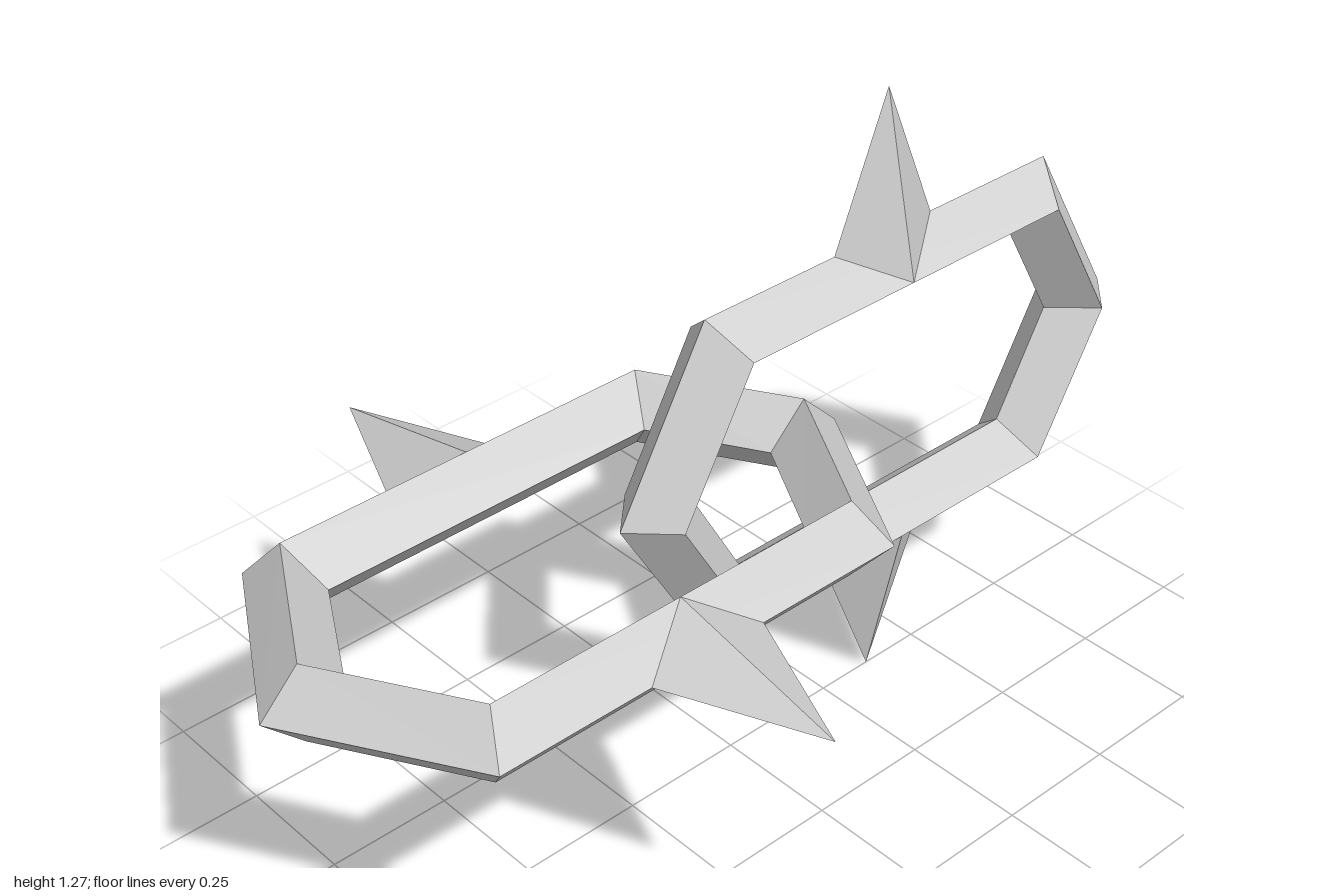
import * as THREE from 'three';

const material = new THREE.MeshStandardMaterial({ color: 0xcccccc, flatShading: true });

function makeGeometry(positions) {
  const g = new THREE.BufferGeometry();
  g.setAttribute('position', new THREE.Float32BufferAttribute(positions, 3));
  g.computeVertexNormals();
  return g;
}

// Long hexagonal ring with a diamond cross-section, lying in the xz plane.
function linkGeometry() {
  // Each level: half width, half straight length, half total length, height
  const levels = [
    [0.347, 0.43, 0.63, 0],
    [0.28, 0.39, 0.55, 0.08],
    [0.21, 0.35, 0.468, 0],
    [0.28, 0.39, 0.55, -0.08],
  ];
  const loops = levels.map(([w, s, t, y]) => [
    [w, y, -s], [w, y, s], [0, y, t], [-w, y, s], [-w, y, -s], [0, y, -t],
  ]);
  const pos = [];
  for (let j = 0; j < 4; j++) {
    for (let i = 0; i < 6; i++) {
      const a = loops[j][i], b = loops[j][(i + 1) % 6];
      const d = loops[(j + 1) % 4][i], c = loops[(j + 1) % 4][(i + 1) % 6];
      pos.push(...a, ...d, ...c, ...a, ...c, ...b);
    }
  }
  return makeGeometry(pos);
}

// Four-sided spike pointing along +x, its base wrapped over the link's ridge.
function spikeGeometry() {
  const tip = [0.637, 0, 0];
  const base = [[0.28, 0.08, 0], [0.347, 0, 0.122], [0.28, -0.08, 0], [0.347, 0, -0.122]];
  return makeGeometry(base.flatMap((p, i) => [...tip, ...p, ...base[(i + 1) % 4]]));
}

function spikedLink(name) {
  const group = new THREE.Group();
  group.name = name;
  const link = new THREE.Mesh(linkGeometry(), material);
  link.name = 'link';
  group.add(link);
  ['leftSpike', 'rightSpike'].forEach((spikeName, i) => {
    const spike = new THREE.Mesh(spikeGeometry(), material);
    spike.name = spikeName;
    spike.rotation.y = i * Math.PI;
    group.add(spike);
  });
  return group;
}

export function createModel() {
  const model = new THREE.Group();
  model.name = 'spikedChain';

  // Front link lies flat
  const front = spikedLink('flatLink');
  front.position.set(0, 0.645, 0.37);

  // Back link stands upright, passing through the front one
  const back = spikedLink('uprightLink');
  back.position.set(0, 0.645, -0.37);
  back.rotation.z = Math.PI / 2;

  model.add(front, back);
  return model;
}
